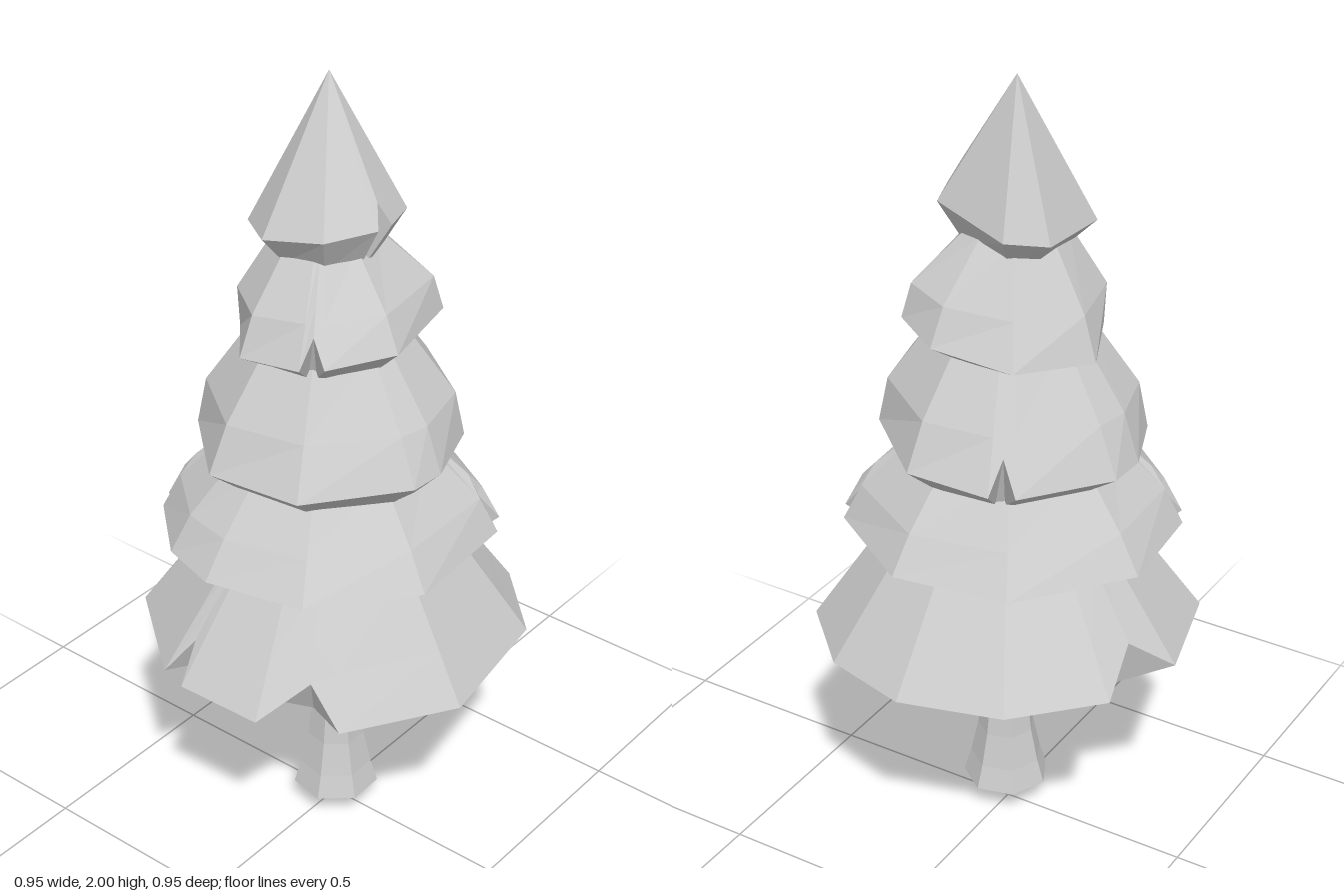
import * as THREE from 'three';

const material = new THREE.MeshStandardMaterial({ color: 0xcccccc, flatShading: true });

// Skin between closed rings of equal length, listed from bottom to top.
function loft(rings) {
  const points = [];
  const n = rings[0].length;
  for (let k = 0; k < rings.length - 1; k++) {
    const a = rings[k], b = rings[k + 1];
    for (let i = 0; i < n; i++) {
      const j = (i + 1) % n;
      points.push(a[j], a[i], b[i], a[j], b[i], b[j]);
    }
  }
  const geometry = new THREE.BufferGeometry().setFromPoints(points);
  geometry.computeVertexNormals();
  return geometry;
}

// One foliage tier. Corner angles run from the back round by the left, in degrees;
// notches are angles where the rim is cut in and up; tilt raises the left side.
// Pinch narrows the rim at its front right and back left, where bulge fills the slope.
function makeTier({ name, x, y, radius, tilt, pinch = [0, 0], bulge = 0, corners, notches, under, sag = 0, top, tip = x }) {
  const angles = [...corners, ...notches].sort((a, b) => a - b).map(THREE.MathUtils.degToRad);
  const cuts = notches.map(THREE.MathUtils.degToRad);
  const lobe = (a) => Math.cos(a - THREE.MathUtils.degToRad(238));
  const ring = (r, height, cx = x) =>
    angles.map((a) => new THREE.Vector3(cx + r * Math.sin(a), height, -r * Math.cos(a)));

  const hub = ring(0, under[1] + 0.015);
  const underside = ring(...under);
  underside.forEach((p) => { p.y += sag * p.z; });

  const rim = ring(radius, y);
  rim.forEach((p, i) => {
    const c = lobe(angles[i]);
    const cut = cuts.includes(angles[i]);
    const scale = (1 - pinch[c > 0 ? 0 : 1] * c ** 4 / radius) * (cut ? 0.86 : 1);
    p.x = x + (p.x - x) * scale;
    p.z *= scale;
    p.y += tilt * p.x + (cut ? 0.04 + 0.1 * radius : 0);
  });

  const crown = ring(...top, tip);
  // The peak leans slightly to the back
  if (top[0] === 0) crown.forEach((p) => { p.z = -0.035; });

  const shoulder = rim.map((p, i) => {
    const out = bulge * lobe(angles[i]) ** 2;
    const offset = new THREE.Vector3(Math.sin(angles[i]), 0, -Math.cos(angles[i]));
    return p.clone().lerp(crown[i], 0.4).addScaledVector(offset, out);
  });

  const mesh = new THREE.Mesh(loft([hub, underside, rim, shoulder, crown]), material);
  mesh.name = name;
  return mesh;
}

export function createModel() {
  const tree = new THREE.Group();
  tree.name = 'tree';

  // Foliage tiers, each overlapping the one below; under and top are [radius, height]
  tree.add(
    makeTier({
      name: 'bottomTier', x: 0, y: 0.578, radius: 0.48, tilt: -0.02,
      corners: [2, 30, 59, 103, 140, 164, 191, 200, 237, 272, 299, 330], notches: [149, 195, 285],
      under: [0.37, 0.545], sag: 0.05, top: [0.28, 0.86],
    }),
    makeTier({
      name: 'lowerTier', x: -0.015, y: 0.865, radius: 0.412, tilt: 0.01, bulge: 0.025,
      corners: [12, 54, 63, 109, 150, 186, 208, 237, 245, 284, 331], notches: [58, 241],
      under: [0.31, 0.8], top: [0.235, 1.09],
    }),
    makeTier({
      name: 'middleTier', x: -0.015, y: 1.112, radius: 0.36, tilt: 0.03, pinch: [0.04, 0.04], bulge: 0.035,
      corners: [13, 59, 93, 108, 153, 194, 239, 270, 287, 328, 338], notches: [333],
      under: [0.26, 1.035], top: [0.175, 1.4],
    }),
    makeTier({
      name: 'upperTier', x: -0.025, y: 1.398, radius: 0.272, tilt: 0.12, pinch: [0.07, 0], bulge: 0.04,
      corners: [15, 47, 105, 142, 154, 191, 236, 285, 331], notches: [148],
      under: [0.185, 1.345], top: [0.115, 1.63],
    }),
    makeTier({
      name: 'topTier', x: -0.025, y: 1.67, radius: 0.182, tilt: 0.16,
      corners: [54, 88, 102, 143, 193, 241, 305, 339], notches: [95],
      under: [0.12, 1.585], top: [0, 2], tip: -0.045,
    }),
  );

  // Trunk with a flared foot and pointed base
  const profile = [[0, 0], [0.11, 0.068], [0.092, 0.13], [0.073, 0.22], [0.056, 0.36], [0.06, 0.6]];
  const trunk = new THREE.Mesh(
    new THREE.LatheGeometry(profile.map(([r, y]) => new THREE.Vector2(r, y)), 7, 0.25), material);
  trunk.name = 'trunk';
  trunk.position.set(0.012, 0, 0.012);
  tree.add(trunk);

  return tree;
}
